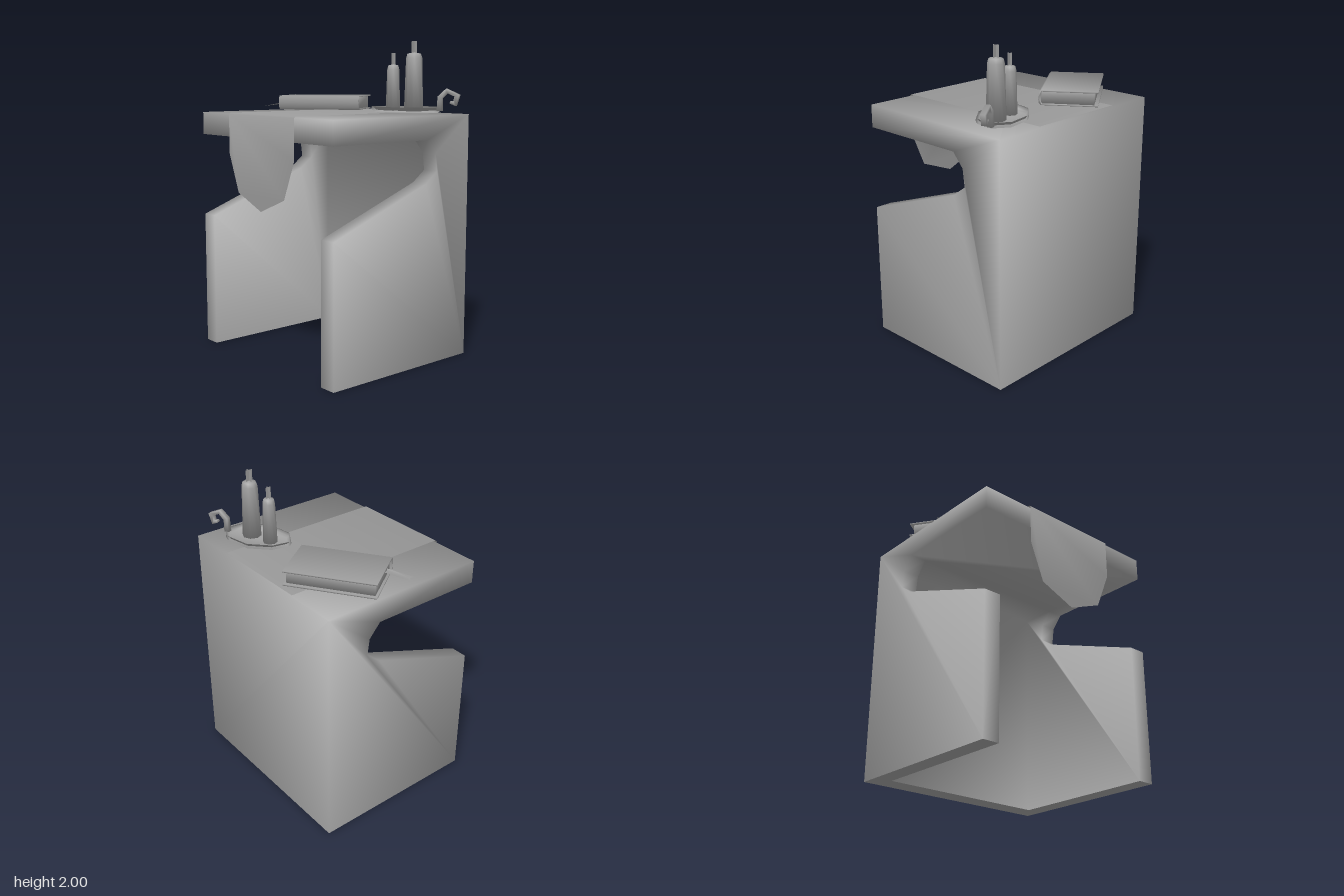
import * as THREE from 'three';
import { mergeGeometries, mergeVertices } from 'three/addons/utils/BufferGeometryUtils.js';

const stone = new THREE.MeshStandardMaterial({ color: 0xa0a0a0 });
const sheet = new THREE.MeshStandardMaterial({ color: 0x9a9a9a, side: THREE.DoubleSide });

// Weld pieces into one skin with soft, angle-weighted normals running over its corners
function weld(...pieces) {
  const bare = pieces.map(piece => {
    const source = piece.index ? piece.toNonIndexed() : piece;
    return new THREE.BufferGeometry().setAttribute('position', source.attributes.position);
  });
  const g = mergeVertices(mergeGeometries(bare), 1e-4);
  const pos = g.attributes.position, index = g.index;
  const sums = Array.from({ length: pos.count }, () => new THREE.Vector3());
  for (let t = 0; t < index.count; t += 3) {
    const ids = [0, 1, 2].map(k => index.getX(t + k));
    const v = ids.map(i => new THREE.Vector3().fromBufferAttribute(pos, i));
    for (let k = 0; k < 3; k++) {
      const e1 = v[(k + 1) % 3].clone().sub(v[k]);
      const e2 = v[(k + 2) % 3].clone().sub(v[k]);
      const normal = e1.clone().cross(e2).normalize();
      sums[ids[k]].addScaledVector(normal, e1.angleTo(e2));
    }
  }
  const normals = sums.flatMap(n => n.normalize().toArray());
  g.setAttribute('normal', new THREE.Float32BufferAttribute(normals, 3));
  return g;
}

function add(parent, name, geometry, material = stone) {
  const mesh = new THREE.Mesh(geometry, material);
  mesh.name = name;
  parent.add(mesh);
  return mesh;
}

const shapeOf = pts => new THREE.Shape(pts.map(([x, y]) => new THREE.Vector2(x, y)));
const extrude = (pts, depth) =>
  new THREE.ExtrudeGeometry(shapeOf(pts), { depth, bevelEnabled: false });

// Flat faces: one looking down from (x, z) points, one looking along +x or -x from (z, y) points
const downFace = (pts, y) =>
  new THREE.ShapeGeometry(shapeOf(pts)).rotateX(Math.PI / 2).translate(0, y, 0);
const sideFace = (pts, x, dir) =>
  new THREE.ShapeGeometry(shapeOf(pts.map(([z, y]) => [-dir * z, y])))
    .rotateY(dir * Math.PI / 2).translate(x, 0, 0);

function indexed(pos, index) {
  const g = new THREE.BufferGeometry();
  g.setAttribute('position', new THREE.Float32BufferAttribute(pos, 3));
  g.setIndex(index);
  return g;
}

// Band between x0 and x1 that follows (z, y) points
function band(pts, x0, x1) {
  const pos = [], index = [];
  pts.forEach(([z, y], i) => {
    pos.push(x0, y, z, x1, y, z);
    const a = 2 * i;
    if (i > 0) index.push(a - 2, a - 1, a + 1, a - 2, a + 1, a);
  });
  return indexed(pos, index);
}

// Desk body: one soft skin over two cut-out side panels, back and top, with a flat base
function createDesk(parent) {
  const x0 = -0.68, x1 = -0.57, x2 = 0.54, x3 = 0.65;
  const front = 0.545, back = -0.565, inner = -0.435, under = 1.405, top = 1.55;
  const edge = [[front, 0], [front, 0.87], [-0.19, 1.14], [-0.285, 1.21], [-0.27, 1.32], [-0.195, under]];
  const outside = [...edge, [front, under], [front, top], [back, top], [back, 0]];
  const inside = [...edge, [inner, under], [inner, 0]];
  add(parent, 'desk', weld(
    sideFace(outside, x0, -1), sideFace(outside, x3, 1),
    sideFace(inside, x1, 1), sideFace(inside, x2, -1),
    band(edge, x0, x1), band(edge, x2, x3),
    band([[front, under], [front, top], [back, top], [back, 0]], x0, x3),
    band([[inner, 0], [inner, under]], x1, x2),
    downFace([[x0, front], [x3, front], [x3, -0.195], [x2, -0.195],
      [x2, inner], [x1, inner], [x1, -0.195], [x0, -0.195]], under)));
  add(parent, 'deskBase', downFace([[x0, front], [x1, front], [x1, inner], [x2, inner],
    [x2, front], [x3, front], [x3, back], [x0, back]], 0));
}

// Thin cloth runner lying on the top, bent over the front into a pointed flap
function createRunner(parent) {
  const left = 0.322, right = -0.345, fold = 1.548, front = 0.564;
  const flap = [[right, fold], [right, 1.3], [-0.25, 1.06], [-0.013, 0.965],
    [0.222, 1.06], [left, 1.3], [left, fold]];
  add(parent, 'runner', weld(
    band([[front, fold], [front - 0.014, 1.557], [-0.56, 1.557]], right, left),
    new THREE.ShapeGeometry(shapeOf(flap)).translate(0, 0, front)), sheet);
}

// Closed book with a rounded spine and a ribbon
function createBook(parent) {
  const book = new THREE.Group();
  book.name = 'book';
  const half = 0.276;
  const cover = [[-0.183, 0], [0.165, 0], [0.179, 0.014], [0.184, 0.046], [0.179, 0.078],
    [0.165, 0.092], [-0.183, 0.092], [-0.183, 0.084], [0.16, 0.084], [0.17, 0.07],
    [0.174, 0.046], [0.17, 0.022], [0.16, 0.008], [-0.183, 0.008]];
  add(book, 'cover', weld(extrude(cover, 2 * half).rotateY(-Math.PI / 2))).position.x = half;
  add(book, 'pages', weld(new THREE.BoxGeometry(2 * half - 0.03, 0.078, 0.325)))
    .position.set(0, 0.046, 0.003);
  // Ribbon with a notched end, sagging as it leaves the pages
  const ribbon = new THREE.ShapeGeometry(shapeOf([[-0.2, 0.05], [-0.27, 0.051], [-0.34, 0.051],
    [-0.418, 0.05], [-0.402, 0.077], [-0.417, 0.106], [-0.34, 0.105], [-0.27, 0.105], [-0.2, 0.106]]));
  ribbon.rotateX(-Math.PI / 2).scale(1, 1, -1);
  const p = ribbon.attributes.position;
  for (let i = 0; i < p.count; i++) {
    p.setY(i, 0.045 - 0.2 * Math.max(0, -0.27 - p.getX(i)));
  }
  ribbon.computeVertexNormals();
  add(book, 'ribbon', ribbon, sheet);
  book.position.set(-0.352, 1.562, -0.233);
  book.rotation.y = 0.603;
  parent.add(book);
}

// Dish made of scaled rings of one outline
function dishGeometry(outline, rings) {
  const n = outline.length, pos = [], index = [];
  for (const [scale, y] of rings) {
    for (const [x, z] of outline) pos.push(x * scale, y, z * scale);
  }
  for (let r = 0; r < rings.length - 1; r++) {
    for (let i = 0; i < n; i++) {
      const a = r * n + i, b = r * n + (i + 1) % n;
      index.push(a, a + n, b, b, a + n, b + n);
    }
  }
  return weld(indexed(pos, index));
}

// Eight-sided candle whose wick is two crossed strips
function createCandle(name, x, z, radius, height, wickWidth) {
  const candle = new THREE.Group();
  candle.name = name;
  const profile = [[0, 0], [radius, 0], [radius * 0.84, height - 0.035],
    [radius * 0.7, height - 0.008], [0, height]];
  add(candle, 'wax', weld(new THREE.LatheGeometry(profile.map(q => new THREE.Vector2(...q)), 8)));
  for (const turn of [0, Math.PI / 2]) {
    const wick = add(candle, 'wick', new THREE.PlaneGeometry(wickWidth, 0.088), sheet);
    wick.position.y = height + 0.024;
    wick.rotation.y = turn;
  }
  candle.position.set(x, 1.568, z);
  return candle;
}

// Tray with a curled handle and two candles
function createCandleTray(parent) {
  const tray = new THREE.Group();
  tray.name = 'candleTray';
  const outline = [[-0.188, -0.021], [-0.064, -0.138], [0.108, -0.17], [0.213, -0.101],
    [0.199, 0.03], [0.071, 0.137], [-0.1, 0.165], [-0.213, 0.097]];
  const rings = [[0, 0.016], [0.86, 0.018], [0.94, 0.036], [0.98, 0.039], [1, 0.032],
    [0.97, 0.015], [0.9, 0.003], [0, 0.003]];
  add(tray, 'dish', dishGeometry(outline, rings)).position.set(0.35, 1.555, -0.305);

  // Handle: a flat bar bent into a hook
  const hook = [[-0.006, -0.004], [0, 0.086], [0.053, 0.134], [0.138, 0.097], [0.115, 0.028],
    [0.076, 0.044], [0.083, 0.058], [0.1, 0.053], [0.108, 0.086], [0.06, 0.108],
    [0.026, 0.075], [0.026, -0.004]];
  const handle = add(tray, 'handle', weld(extrude(hook, 0.032).translate(0, 0, -0.016)));
  handle.position.set(0.545, 1.575, -0.398);
  handle.rotation.y = 0.43;

  tray.add(createCandle('shortCandle', 0.268, -0.275, 0.046, 0.292, 0.036));
  tray.add(createCandle('tallCandle', 0.417, -0.31, 0.06, 0.364, 0.046));
  parent.add(tray);
}

export function createModel() {
  const model = new THREE.Group();
  model.name = 'altarDesk';
  createDesk(model);
  createRunner(model);
  createBook(model);
  createCandleTray(model);
  return model;
}
